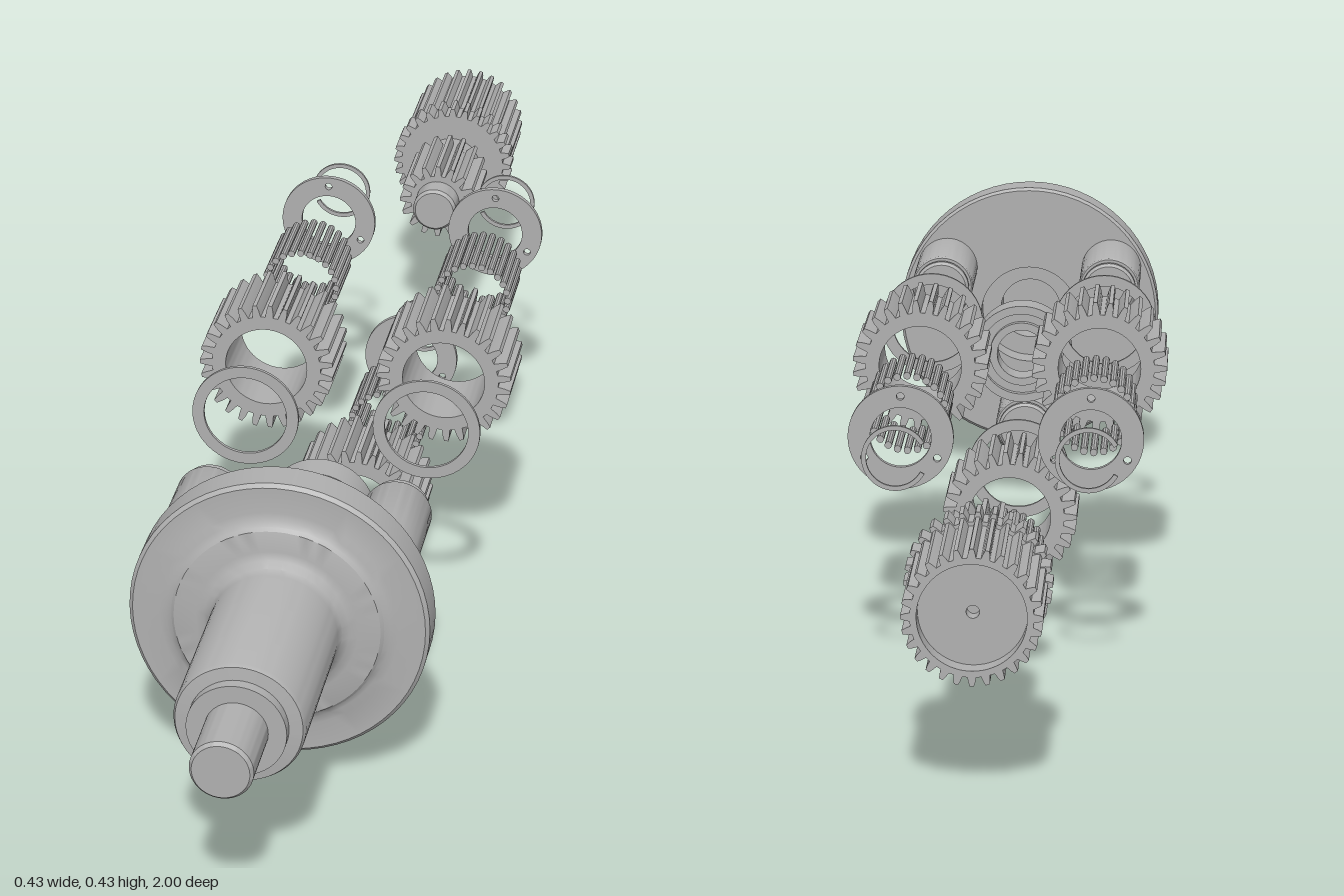
import * as THREE from 'three';
import { toCreasedNormals } from 'three/addons/utils/BufferGeometryUtils.js';

const AXIS_Y = 0.237;   // height of the main axis
const ORBIT = 0.143;    // distance of the planet axes from the main axis
const TAU = Math.PI * 2;

export function createModel() {
  const steel = new THREE.MeshStandardMaterial({ color: 0xb0b0b0 });
  steel.name = 'steelGrey';
  const model = new THREE.Group();
  model.name = 'explodedPlanetaryGearbox';

  const mesh = (name, geometry, parent) => {
    const m = new THREE.Mesh(toCreasedNormals(geometry, 0.6), steel);
    m.name = name;
    parent.add(m);
    return m;
  };
  const group = (name, parent, x = 0, y = 0) => {
    const g = new THREE.Group();
    g.name = name;
    g.position.set(x, y, 0);
    parent.add(g);
    return g;
  };

  // Turned part: profile of [radius, z], revolved about the z axis
  const turned = (profile, segments = 48) =>
    new THREE.LatheGeometry(profile.map(([r, z]) => new THREE.Vector2(r, z)), segments).rotateX(Math.PI / 2);

  // Flat ring with a rectangular section
  const ring = (inner, outer, z0, z1) =>
    turned([[inner, z0], [outer, z0], [outer, z1], [inner, z1], [inner, z0]]);

  const extrude = (shape, z0, z1, curveSegments = 32) =>
    new THREE.ExtrudeGeometry(shape, { depth: z1 - z0, bevelEnabled: false, curveSegments }).translate(0, 0, z0);

  const circleHole = (shape, r, x = 0, y = 0) =>
    shape.holes.push(new THREE.Path().absarc(x, y, r, 0, TAU, true));

  // Spur gear with tapered teeth
  const gear = (teeth, root, tip, bore, z0, z1, phase = 0) => {
    const pts = [];
    const pitch = TAU / teeth;
    const mid = root + (tip - root) * 0.55;
    const flank = [[-0.32, root], [-0.23, mid], [-0.13, tip], [0.13, tip], [0.23, mid], [0.32, root]];
    for (let i = 0; i < teeth; i++) {
      for (const [f, r] of flank) {
        const a = phase + (i + f) * pitch;
        pts.push(new THREE.Vector2(r * Math.cos(a), r * Math.sin(a)));
      }
    }
    const shape = new THREE.Shape(pts);
    if (bore) circleHole(shape, bore);
    return extrude(shape, z0, z1);
  };

  const main = group('mainAxis', model, 0, AXIS_Y);

  // Output shaft with flange and bearing seat
  const carrier = group('planetCarrier', main);
  mesh('carrierShaft', turned([
    [0, 0.68], [0.045, 0.68], [0.045, 0.614], [0.073, 0.614], [0.073, 0.572],
    [0.191, 0.572], [0.195, 0.576], [0.195, 0.621], [0.190, 0.626],
    [0.155, 0.626], [0.145, 0.628], [0.138, 0.632], [0.134, 0.637],
    [0.105, 0.637], [0.094, 0.640], [0.086, 0.647], [0.083, 0.658],
    [0.083, 0.88], [0.080, 0.886], [0.063, 0.888], [0.063, 0.903], [0.04, 0.903],
    [0.04, 0.995], [0.036, 1], [0, 1],
  ], 64), carrier);

  // Support bearing: races, balls and recessed shield
  const bearing = group('supportBearing', main);
  mesh('outerRace', ring(0.06, 0.072, 0.316, 0.358), bearing);
  mesh('innerRace', ring(0.036, 0.047, 0.316, 0.358), bearing);
  mesh('bearingShield', ring(0.046, 0.061, 0.326, 0.348), bearing);

  // Three planet stations
  [-Math.PI / 2, Math.PI / 6, Math.PI * 5 / 6].forEach((a, i) => {
    const px = ORBIT * Math.cos(a), py = ORBIT * Math.sin(a);
    const station = group('planetStation' + (i + 1), main, px, py);

    mesh('carrierPin', turned([
      [0, 0.426], [0.036, 0.426], [0.040, 0.430], [0.040, 0.437], [0.037, 0.437],
      [0.037, 0.442], [0.043, 0.442], [0.045, 0.445], [0.045, 0.58],
    ], 40), station);

    mesh('thrustRing', ring(0.057, 0.073, 0.204, 0.209), station);

    mesh('planetGear', gear(27, 0.076, 0.0935, 0.057, -0.054, 0.059, -Math.PI / 2 + 0.05), station);

    // Loose needle rollers
    const needles = group('needleRollers', station);
    const count = 24;
    for (let k = 0; k < count; k++) {
      const t = (k / count) * TAU;
      const needle = new THREE.CylinderGeometry(0.005, 0.005, 0.108, 10)
        .rotateX(Math.PI / 2).translate(0.051 * Math.cos(t), 0.051 * Math.sin(t), -0.258);
      mesh('needle', needle, needles);
    }

    // Retaining washer with three small holes
    const washer = new THREE.Shape().absarc(0, 0, 0.069, 0, TAU, false);
    circleHole(washer, 0.040);
    for (let k = 0; k < 3; k++) {
      const t = Math.PI / 2 + k * TAU / 3;
      circleHole(washer, 0.005, 0.055 * Math.cos(t), 0.055 * Math.sin(t));
    }
    mesh('retainingWasher', extrude(washer, -0.438, -0.430), station);

    // Open snap ring
    const from = Math.PI + 0.5, to = Math.PI * 3 - 0.5;
    const clip = new THREE.Shape();
    clip.absarc(0, 0, 0.043, from, to, false);
    clip.absarc(0, 0, 0.037, to, from, true);
    mesh('snapRing', extrude(clip, -0.543, -0.539), station);
  });

  // Input sun gear shaft with dished rear end
  const sun = group('sunGearShaft', main);
  mesh('inputSpline', gear(28, 0.074, 0.085, 0.066, -1, -0.858), sun);
  mesh('toothedCollar', gear(28, 0.079, 0.091, 0, -0.86, -0.825), sun);
  mesh('sunPinion', gear(16, 0.042, 0.058, 0, -0.802, -0.68), sun);
  mesh('shaftCore', turned([
    [0, -0.955], [0.008, -0.955], [0.008, -0.975], [0.068, -0.975], [0.068, -0.83],
    [0.042, -0.83], [0.042, -0.79], [0.033, -0.79], [0.033, -0.65], [0.029, -0.645], [0, -0.645],
  ]), sun);

  return model;
}
